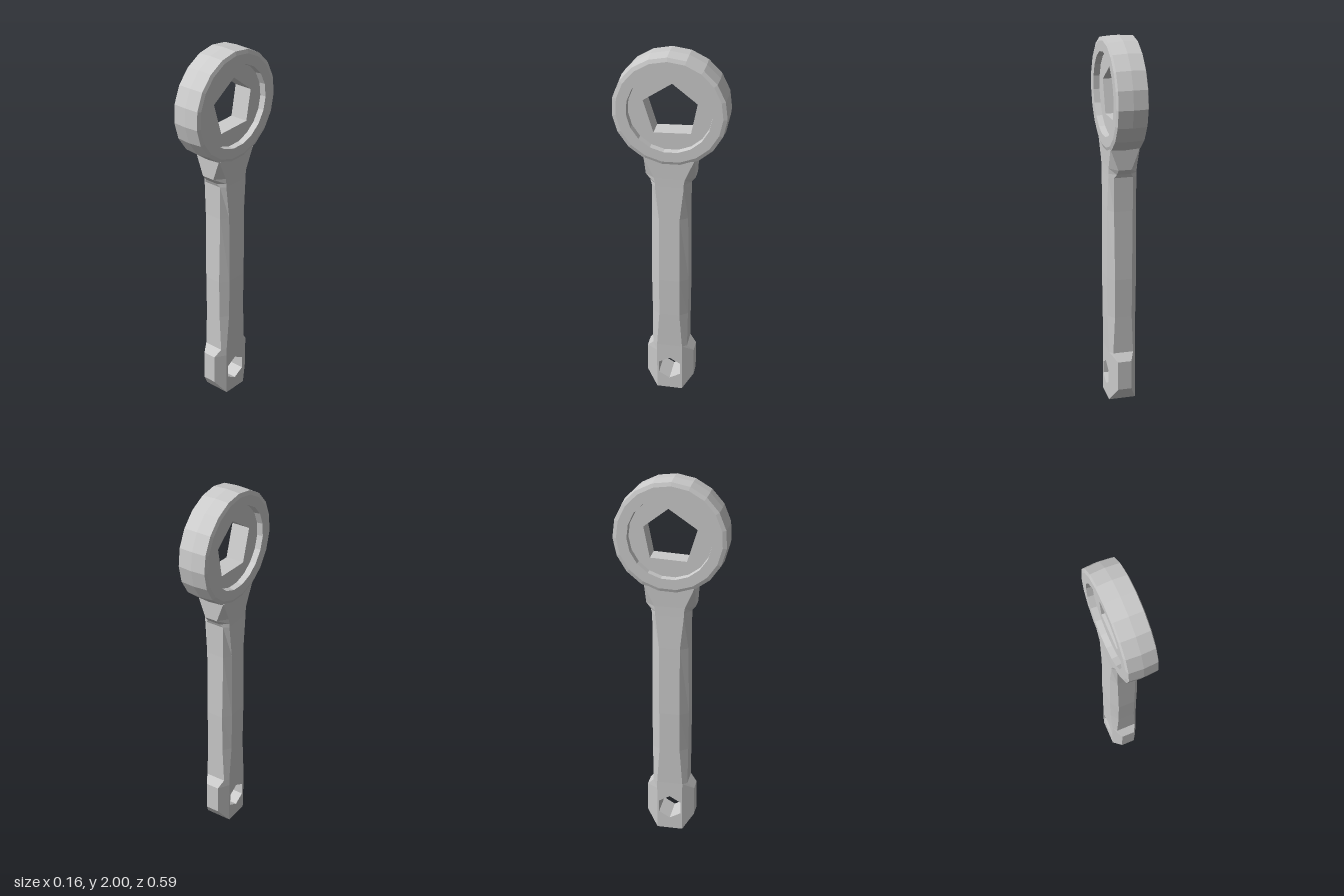
import * as THREE from 'three';

const material = new THREE.MeshStandardMaterial({ color: 0xcccccc, flatShading: true });
const RING_Y = 1.704;

// Flat plate with a hole, outlined in (-z, y) and extruded along x, centred on x = 0
function plate(outline, hole, thickness) {
  const toPoints = (list) => list.map(([u, y]) => new THREE.Vector2(u, y));
  const shape = new THREE.Shape(toPoints(outline));
  shape.holes.push(new THREE.Path(toPoints(hole)));
  return new THREE.ExtrudeGeometry(shape, { depth: thickness, bevelEnabled: false })
    .translate(0, 0, -thickness / 2)
    .rotateY(Math.PI / 2);
}

function polygon(sides, radius, cy, start) {
  return Array.from({ length: sides }, (_, i) => {
    const a = start + (i / sides) * Math.PI * 2;
    return [radius * Math.cos(a), cy + radius * Math.sin(a)];
  });
}

// Loft of eight-sided sections: y, side half-thickness t, side flat half-width w,
// edge depth d, edge flat half-width f
function handleGeometry(sections, plateTop) {
  const rings = sections.map(([y, t, w, d, f]) =>
    [[t, -w], [t, w], [f, d], [-f, d], [-t, w], [-t, -w], [-f, -d], [f, -d]].map(([x, z]) => [x, y, z]));
  const pos = [];
  for (let s = 0; s < rings.length - 1; s++) {
    for (let i = 0; i < 8; i++) {
      // The pierced foot plate supplies these two sides
      if (sections[s + 1][0] <= plateTop && (i === 0 || i === 4)) continue;
      const j = (i + 1) % 8;
      const [a, b, c, d] = [rings[s][i], rings[s + 1][i], rings[s + 1][j], rings[s][j]];
      pos.push(...a, ...b, ...c, ...a, ...c, ...d);
    }
  }
  // Top cap, buried in the ring
  const top = rings[rings.length - 1];
  for (let i = 1; i < 7; i++) pos.push(...top[0], ...top[i + 1], ...top[i]);
  const geometry = new THREE.BufferGeometry();
  geometry.setAttribute('position', new THREE.Float32BufferAttribute(pos, 3));
  geometry.computeVertexNormals();
  return geometry;
}

export function createModel() {
  const group = new THREE.Group();
  const add = (name, geometry) => {
    const mesh = new THREE.Mesh(geometry, material);
    mesh.name = name;
    group.add(mesh);
    return mesh;
  };

  // Head ring with softened rims and a slight crown
  const profile = [[0.215, -0.05], [0.218, -0.082], [0.272, -0.082], [0.292, -0.075], [0.297, 0],
    [0.292, 0.075], [0.272, 0.082], [0.218, 0.082], [0.215, 0.05]].map(([r, x]) => new THREE.Vector2(r, x));
  const ring = new THREE.LatheGeometry(profile, 19, THREE.MathUtils.degToRad(272)).rotateZ(-Math.PI / 2);
  add('headRing', ring).position.y = RING_Y;

  // Recessed web with the five-sided socket
  const socket = [[0.01, 1.85], [0.138, 1.75], [0.106, 1.587], [-0.085, 1.578], [-0.138, 1.75]];
  add('socketWeb', plate(polygon(19, 0.23, RING_Y, 0), socket, 0.1));

  // Handle, from foot to neck
  const footTop = 0.29;
  add('handle', handleGeometry([
    [0, 0.073, 0.07, 0.07, 0.073],
    [0.085, 0.073, 0.07, 0.13, 0.037],
    [0.25, 0.073, 0.07, 0.13, 0.037],
    [footTop, 0.073, 0.07, 0.095, 0.055],
    [0.5, 0.077, 0.055, 0.097, 0.046],
    [0.72, 0.08, 0.055, 0.1, 0.046],
    [1.1, 0.077, 0.055, 0.095, 0.05],
    [1.285, 0.075, 0.075, 0.096, 0.05],
    [1.305, 0.075, 0.075, 0.106, 0.037],
    [1.335, 0.075, 0.08, 0.13, 0.035],
    [1.445, 0.077, 0.128, 0.132, 0.075],
  ], footTop));

  // Foot plate with the six-sided hanging hole
  const foot = [[-0.07, 0], [0.07, 0], [0.07, footTop], [-0.07, footTop]];
  add('footPlate', plate(foot, polygon(6, 0.069, 0.135, Math.PI / 2), 0.146));

  return group;
}
